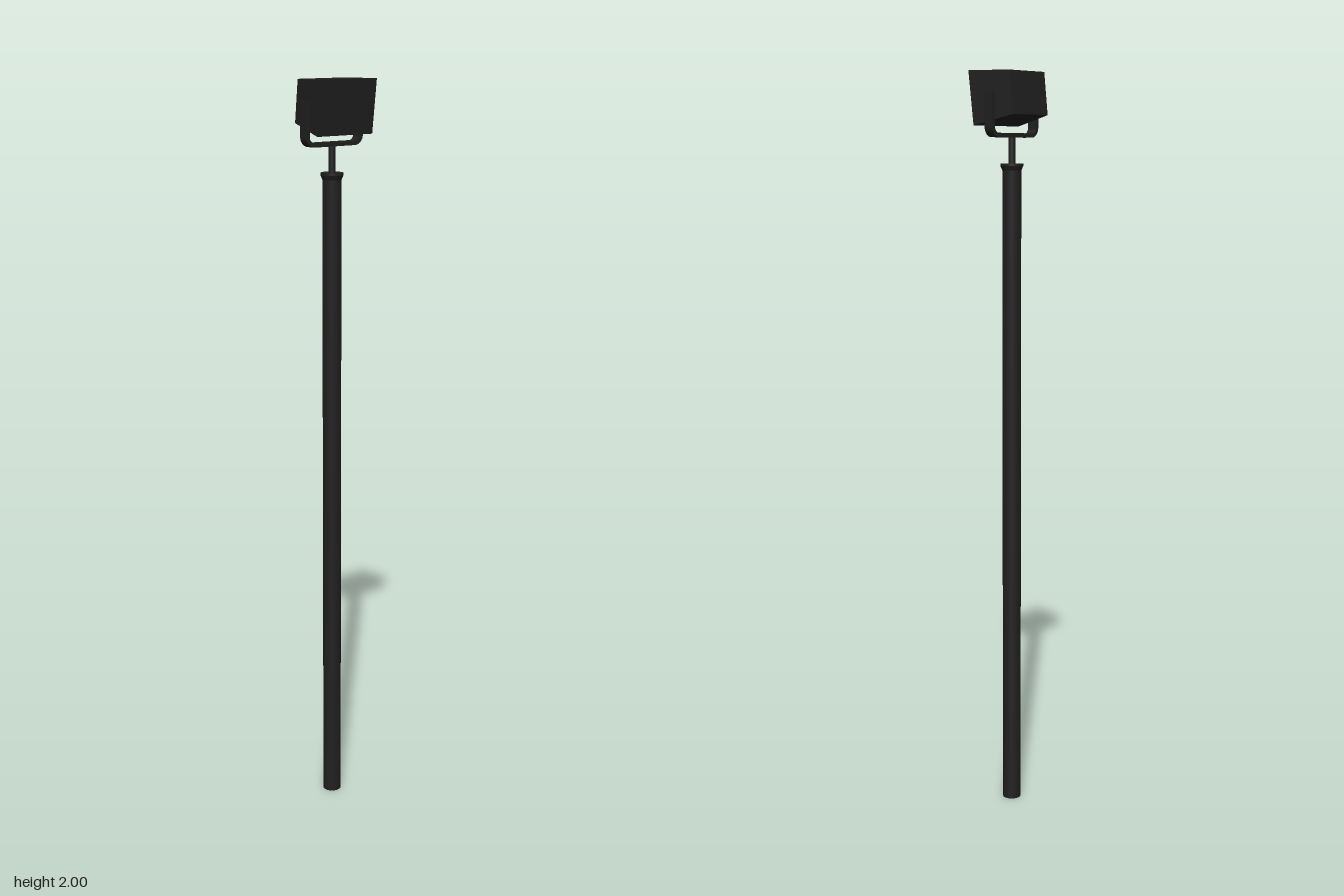
import * as THREE from 'three';

export function createModel() {
  const model = new THREE.Group();
  const black = new THREE.MeshStandardMaterial({ color: 0x202020 });
  black.name = 'matteBlack';
  const axisZ = -0.004;

  const add = (name, geometry, y = 0, z = axisZ) => {
    const mesh = new THREE.Mesh(geometry, black);
    mesh.name = name;
    mesh.position.set(0, y, z);
    model.add(mesh);
    return mesh;
  };

  // Post with a slightly flared collar and a thin stem
  add('pole', new THREE.CylinderGeometry(0.025, 0.025, 1.75, 24), 0.875);
  add('collar', new THREE.CylinderGeometry(0.03, 0.025, 0.012, 24), 1.752);
  add('collarCap', new THREE.CylinderGeometry(0.03, 0.03, 0.006, 24), 1.761);
  add('stem', new THREE.CylinderGeometry(0.009, 0.009, 0.075, 16), 1.7985);

  // U-shaped strap with rounded lower corners
  const strap = new THREE.Shape();
  const out = 0.092, inn = 0.081, low = 1.831, top = 1.945, t = 0.011, r = 0.026, ri = r - t;
  strap.moveTo(-out, top);
  strap.lineTo(-out, low + r);
  strap.absarc(-out + r, low + r, r, Math.PI, 1.5 * Math.PI, false);
  strap.lineTo(out - r, low);
  strap.absarc(out - r, low + r, r, -Math.PI / 2, 0, false);
  strap.lineTo(out, top);
  strap.lineTo(inn, top);
  strap.lineTo(inn, low + r);
  strap.absarc(out - r, low + r, ri, 0, -Math.PI / 2, true);
  strap.lineTo(-out + r, low + t);
  strap.absarc(-out + r, low + r, ri, 1.5 * Math.PI, Math.PI, true);
  strap.lineTo(-inn, top);
  strap.closePath();
  const yoke = new THREE.ExtrudeGeometry(strap, { depth: 0.026, bevelEnabled: false, curveSegments: 8 });
  yoke.translate(0, 0, -0.013);
  add('yoke', yoke);

  // Lamp head: a box tapering to the back and tilted down
  const head = new THREE.BoxGeometry(2, 2, 2).toNonIndexed();
  const p = head.attributes.position;
  for (let i = 0; i < p.count; i++) {
    const front = p.getZ(i) > 0, upper = p.getY(i) > 0;
    const x = Math.sign(p.getX(i)) * (front ? 0.089 : 0.07);
    const y = upper ? (front ? 2 : 1.998) : (front ? 1.861 : 1.888);
    const z = front ? (upper ? 0.067 : 0.05) : (upper ? -0.055 : -0.067);
    p.setXYZ(i, x, y, z);
  }
  head.computeVertexNormals();
  add('lampHead', head, 0, 0);

  return model;
}
